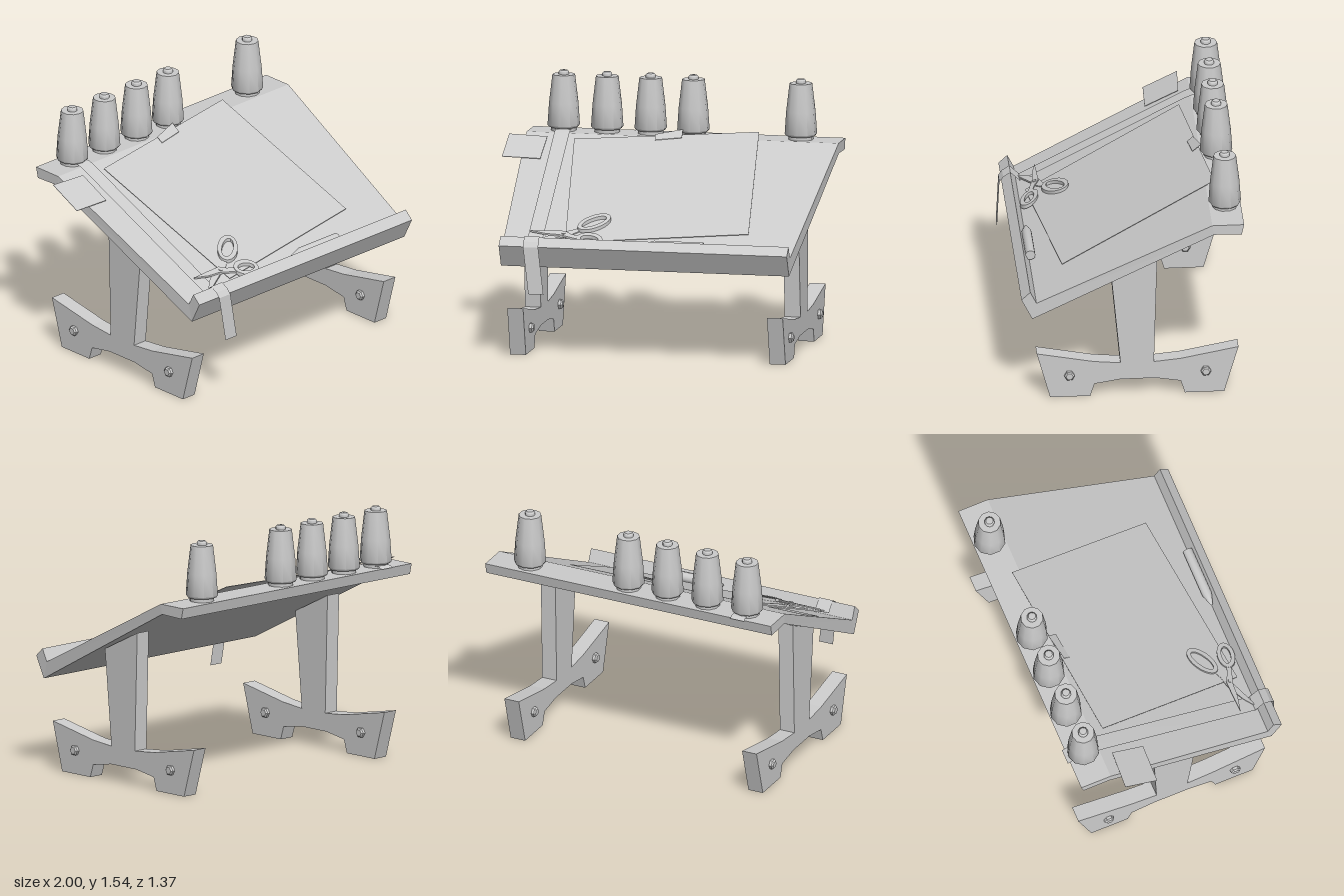
import * as THREE from 'three';
import { toCreasedNormals } from 'three/addons/utils/BufferGeometryUtils.js';

const grey = new THREE.MeshStandardMaterial({ color: 0xcccccc });
const thin = new THREE.MeshStandardMaterial({ color: 0xcccccc, side: THREE.DoubleSide });

// Height of the sloping desk surface at depth z
const slopeY = z => 0.66 + (0.565 - z) * 0.493;

function part(name, geometry, material = grey) {
  const mesh = new THREE.Mesh(geometry, material);
  mesh.name = name;
  return mesh;
}

// Extrude a [z, y] outline sideways from x0 to x1
function sideExtrude(points, x0, x1) {
  const shape = new THREE.Shape(points.map(p => new THREE.Vector2(...p)));
  const geo = new THREE.ExtrudeGeometry(shape, { depth: x1 - x0, bevelEnabled: false });
  return geo.rotateY(-Math.PI / 2).translate(x1, 0, 0);
}

// Lay a flat piece, drawn in plan as (x, -z), on the sloping surface
function onSlope(shape, thickness, offset, tilt = 0, z0 = 0) {
  const geo = new THREE.ExtrudeGeometry(shape, { depth: thickness, bevelEnabled: false, curveSegments: 12 });
  geo.rotateX(-Math.PI / 2);
  const p = geo.attributes.position;
  for (let i = 0; i < p.count; i++) {
    const z = p.getZ(i);
    p.setY(i, p.getY(i) + slopeY(z) + offset + (z0 - z) * tilt);
  }
  geo.computeVertexNormals();
  return toCreasedNormals(geo, 0.6);
}
const plan = pts => new THREE.Shape(pts.map(([x, z]) => new THREE.Vector2(x, -z)));

function lathe(points, sides, crease) {
  const geo = new THREE.LatheGeometry(points.map(p => new THREE.Vector2(...p)), sides);
  return toCreasedNormals(geo, crease);
}

// Desk top with front lip and level rear shelf, widening towards the back
function buildBoard() {
  const geo = sideExtrude([
    [0.59, 0.555], [0.655, 0.685], [0.602, 0.735], [0.565, 0.66],
    [-0.48, 1.176], [-0.67, 1.176], [-0.655, 1.11], [-0.49, 1.115],
  ], 0, 1);
  const p = geo.attributes.position;
  for (let i = 0; i < p.count; i++) {
    const t = THREE.MathUtils.clamp((0.57 - p.getZ(i)) / 1.05, 0, 1);
    p.setX(i, THREE.MathUtils.lerp(-0.83 - 0.075 * t, 0.925 + 0.07 * t, p.getX(i)));
  }
  geo.computeVertexNormals();
  return part('deskTop', geo);
}

// Leg: upright and spread foot in one outline, with two hexagonal bolts
function buildLeg(name, x) {
  const leg = new THREE.Group();
  leg.name = name;
  leg.add(part('legFrame', sideExtrude([
    [0.56, 0.295], [0.48, 0], [0.24, 0], [0.215, 0.08], [0.06, 0.105],
    [-0.15, 0.105], [-0.3, 0.08], [-0.325, 0], [-0.56, 0], [-0.645, 0.295],
    [-0.3, 0.23], [-0.14, 0.215], [-0.16, 0.935], [0.115, 0.8], [0.06, 0.215], [0.22, 0.23],
  ], x - 0.048, x + 0.048)));
  const profile = [[0, -0.073], [0.022, -0.073], [0.031, -0.064], [0.031, 0.064], [0.022, 0.073], [0, 0.073]];
  for (const z of [0.365, -0.45]) {
    const bolt = part('bolt', lathe(profile, 6, 0.3));
    bolt.rotation.z = Math.PI / 2;
    bolt.position.set(x, 0.145, z);
    leg.add(bolt);
  }
  return leg;
}

// Tapered thread spools along the rear shelf
function buildSpools() {
  const group = new THREE.Group();
  group.name = 'threadSpools';
  const geo = lathe([
    [0, -0.002], [0.075, -0.002], [0.075, 0.02], [0.087, 0.022], [0.097, 0.035], [0.088, 0.17],
    [0.068, 0.339], [0.03, 0.339], [0.03, 0.355], [0.022, 0.364], [0, 0.366],
  ], 10, 0.75);
  [-0.7, -0.435, -0.17, 0.09, 0.745].forEach(x => {
    const spool = part('spool', geo);
    spool.position.set(x, 1.176, -0.573);
    group.add(spool);
  });
  return group;
}

// Measuring ribbon from the shelf, down the slope and over the lip: [x, y, z]
function buildRibbon() {
  const path = [
    [-0.688, 1.178, -0.685], [-0.687, 1.19, -0.66], [-0.687, 1.195, -0.49], [-0.685, 1.18, -0.45],
    [-0.64, 0.685, 0.545], [-0.638, 0.742, 0.602], [-0.635, 0.715, 0.645],
    [-0.633, 0.685, 0.668], [-0.597, 0.405, 0.685],
  ];
  const geo = new THREE.PlaneGeometry(1, 1, 1, path.length - 1);
  path.forEach(([x, y, z], i) => {
    geo.attributes.position.setXYZ(2 * i, x - 0.046, y, z);
    geo.attributes.position.setXYZ(2 * i + 1, x + 0.046, y, z);
  });
  return part('ribbon', toCreasedNormals(geo, 0.3), thin);
}

// Scissors: two halves, each a blade, shank and ring handle
function buildScissors() {
  const group = new THREE.Group();
  group.name = 'scissors';
  const halves = [
    { ring: [-0.312, 0.358, 0.105, 0.058, 0.6], off: 0.014,
      blade: [[-0.675, 0.568], [-0.6, 0.5], [-0.5, 0.44], [-0.44, 0.425], [-0.385, 0.395],
        [-0.375, 0.42], [-0.43, 0.462], [-0.49, 0.482], [-0.58, 0.525]] },
    { ring: [-0.308, 0.513, 0.082, 0.054, -0.2], off: 0.024,
      blade: [[-0.68, 0.452], [-0.57, 0.447], [-0.47, 0.445], [-0.43, 0.47], [-0.378, 0.487],
        [-0.38, 0.515], [-0.45, 0.495], [-0.5, 0.48], [-0.58, 0.475]] },
  ];
  for (const { ring: [x, z, rx, rz, angle], off, blade } of halves) {
    group.add(part('blade', onSlope(plan(blade), 0.01, off)));
    const ring = new THREE.Shape().absellipse(x, -z, rx, rz, 0, Math.PI * 2, false, angle);
    ring.holes.push(new THREE.Path().absellipse(x, -z, rx - 0.026, rz - 0.026, 0, Math.PI * 2, true, angle));
    group.add(part('ringHandle', onSlope(ring, 0.024, 0.014)));
  }
  const pivot = part('pivot', new THREE.CylinderGeometry(0.012, 0.012, 0.03, 8));
  pivot.position.set(-0.475, slopeY(0.463) + 0.023, 0.463);
  pivot.rotation.x = Math.atan(0.493);
  group.add(pivot);
  return group;
}

export function createModel() {
  const model = new THREE.Group();
  model.name = 'draftingDesk';
  model.add(buildBoard(), buildLeg('rightLeg', -0.75), buildLeg('leftLeg', 0.832));
  model.add(buildSpools(), buildRibbon(), buildScissors());

  // Paper, the tape holding it and a loose note over the side edge
  model.add(part('paper', onSlope(plan([[-0.6, -0.405], [-0.455, 0.525], [0.635, 0.39], [0.5, -0.53]]), 0.003, 0.015)));
  model.add(part('tape', onSlope(plan([[-0.115, -0.45], [-0.11, -0.415], [0.05, -0.435], [0.045, -0.487]]), 0.003, 0.022, 0.3, -0.42)));
  model.add(part('note', onSlope(plan([[-1, -0.425], [-1, -0.22], [-0.765, -0.213], [-0.765, -0.413]]), 0.003, 0.018)));

  // Pencil resting against the lip, point towards the model's right
  const pencil = part('pencil', lathe([
    [0, -0.19], [0.03, -0.19], [0.03, 0.11], [0.008, 0.18], [0, 0.187],
  ], 12, 0.6));
  pencil.rotation.z = Math.PI / 2;
  pencil.position.set(0.207, 0.705, 0.56);
  model.add(pencil);
  return model;
}
